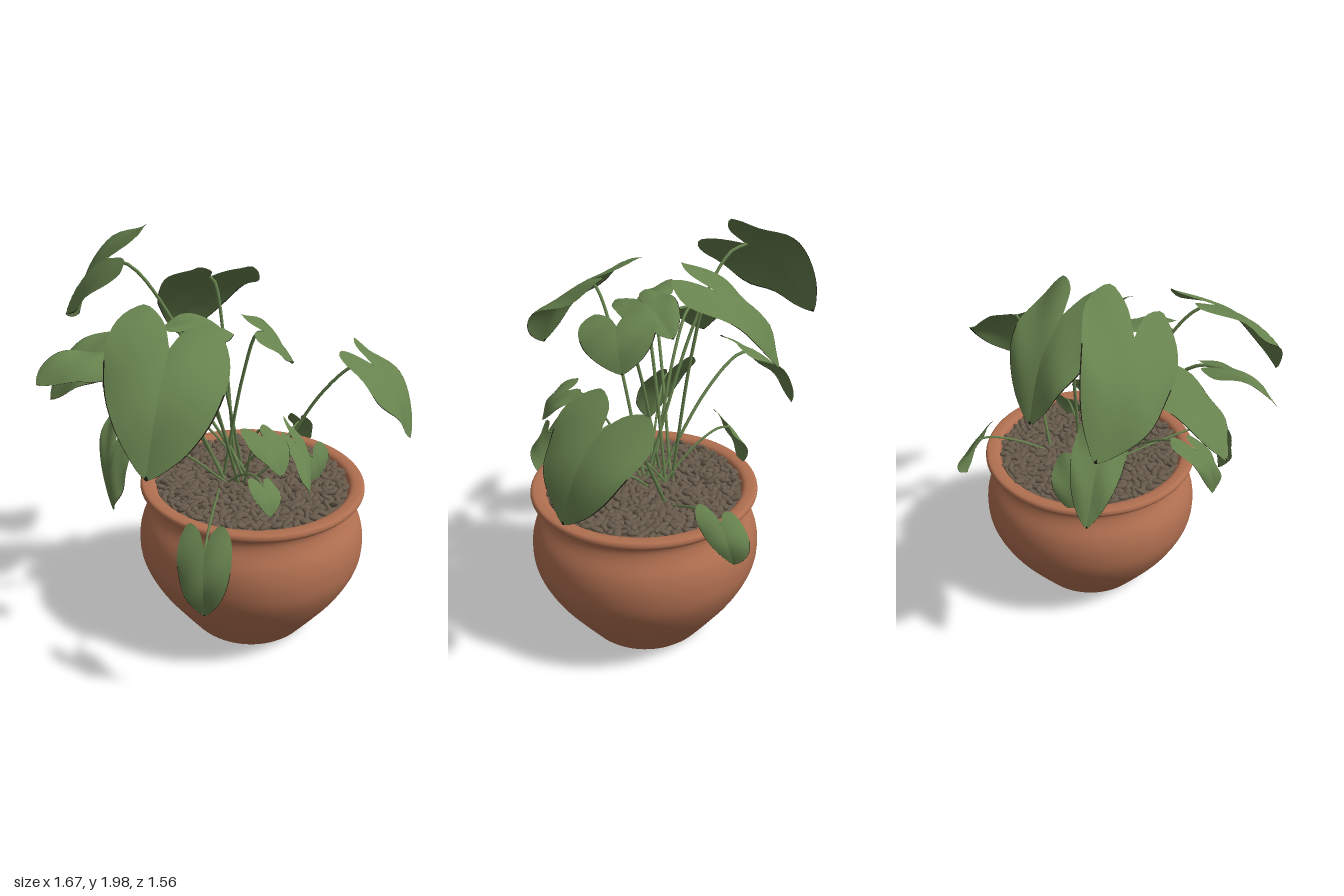
import * as THREE from 'three';
import { mergeGeometries } from 'three/addons/utils/BufferGeometryUtils.js';

const V2 = (x, y) => new THREE.Vector2(x, y);
const V3 = (a) => new THREE.Vector3(...a);
const material = (name, color, side = THREE.FrontSide) => {
  const m = new THREE.MeshStandardMaterial({ color, side });
  m.name = name;
  return m;
};
const terracotta = material('terracotta', 0xb06f50);
const gravelBrown = material('gravel brown', 0x685b4c);
const leafGreen = material('leaf green', 0x67824e, THREE.DoubleSide);
const leafDark = material('withered edge', 0x1c1a12, THREE.DoubleSide);
const stemGreen = material('stem green', 0x67824e);

const CX = 0.11, CZ = 0.22; // pot axis

// Each leaf: one lobe, the other lobe, the tip
const upperLeaves = [
  [[-0.35, 1.79, -0.19], [-0.05, 2.00, -0.31], [-0.16, 1.46, -0.78]],
  [[-0.08, 1.81, -0.05], [0.25, 1.79, 0.13], [0.22, 1.34, -0.42]],
  [[-0.27, 1.50, 0.01], [-0.18, 1.54, -0.28], [-0.64, 1.25, -0.36]],
  [[-0.20, 1.38, -0.27], [0.00, 1.38, -0.31], [-0.09, 1.00, -0.65]],
  [[-0.44, 1.46, 0.10], [-0.48, 1.52, -0.11], [-0.82, 1.43, -0.17]],
  [[-0.45, 1.75, 0.01], [-0.23, 1.66, 0.39], [-0.79, 1.23, 0.51]],
  [[-0.30, 1.57, 0.26], [-0.31, 1.62, 0.03], [0.09, 1.50, 0.06]],
  [[-0.09, 1.59, 0.43], [0.06, 1.64, 0.16], [0.21, 1.41, 0.34]],
  [[0.34, 1.44, 0.51], [0.73, 1.40, 0.33], [0.68, 1.00, 0.73]],
];
const lowerLeaves = [
  [[0.60, 0.94, 0.14], [0.66, 0.88, -0.04], [0.73, 0.67, 0.00]],
  [[-0.44, 1.10, 0.01], [-0.36, 1.22, -0.22], [-0.57, 0.79, -0.02]],
  [[-0.04, 1.06, -0.18], [0.16, 1.04, -0.20], [0.06, 0.78, -0.30]],
  [[-0.55, 0.91, 0.45], [-0.43, 0.91, 0.61], [-0.55, 0.50, 0.58]],
  [[-0.23, 1.24, 0.45], [-0.06, 1.22, 0.47], [-0.16, 1.07, 0.65]],
  [[0.08, 1.08, 0.42], [0.23, 1.13, 0.30], [0.12, 0.80, 0.58]],
  [[-0.18, 0.99, 0.46], [-0.06, 0.96, 0.50], [-0.17, 0.85, 0.60]],
  [[0.23, 0.93, 0.40], [0.38, 0.98, 0.42], [0.31, 0.81, 0.47]],
];

// Half outline of a broad heart-shaped blade, from notch over the lobe to the tip
const outline = new THREE.SplineCurve([
  V2(0, 0.25), V2(0.25, 0.06), V2(0.7, -0.02), V2(1.06, 0.12), V2(1.17, 0.36),
  V2(1.03, 0.6), V2(0.68, 0.81), V2(0.25, 0.95), V2(0, 1),
]);

// Maps blade coordinates (u across, v along) onto an arched surface
function bladeSurface([lobeA, lobeB, tip]) {
  const a = V3(lobeA), b = V3(lobeB);
  const mid = a.clone().add(b).multiplyScalar(0.5);
  const across = b.clone().sub(a).multiplyScalar(0.5);
  const along = V3(tip).sub(mid);
  const normal = across.clone().cross(along).normalize();
  if (normal.y < 0) normal.negate();
  const size = along.length();
  return (u, v) => mid.clone().addScaledVector(across, u).addScaledVector(along, v)
    .addScaledVector(normal, size * (0.14 * Math.sin(Math.PI * Math.max(v, 0))
      + 0.05 * Math.abs(u) - 0.07 * u * u + 0.025 * Math.sin(9 * v + 3 * u) * u));
}

// Green blade (group 0) with a thin dark rim towards the tip (group 1)
function bladeGeometry(surface) {
  const rows = 28, cols = 7, pos = [], green = [], dark = [];
  for (const side of [-1, 1]) {
    const start = pos.length / 3;
    for (let i = 0; i <= rows; i++) {
      const t = i / rows, edge = outline.getPoint(t), rib = 0.25 + 0.75 * t;
      for (let j = 0; j <= cols; j++) {
        const k = j === cols ? 1 : (0.975 * j) / (cols - 1);
        pos.push(...surface(side * edge.x * k, rib + (edge.y - rib) * k).toArray());
        if (i < rows && j < cols) {
          const p = start + i * (cols + 1) + j, q = p + cols + 1;
          const index = (j === cols - 1 && t > 0.5) || i === rows - 1 ? dark : green;
          if (side > 0) index.push(p, q, p + 1, p + 1, q, q + 1);
          else index.push(p, p + 1, q, p + 1, q + 1, q);
        }
      }
    }
  }
  const g = new THREE.BufferGeometry();
  g.setAttribute('position', new THREE.Float32BufferAttribute(pos, 3));
  g.setIndex([...green, ...dark]);
  g.addGroup(0, green.length, 0);
  g.addGroup(green.length, dark.length, 1);
  g.computeVertexNormals();
  return g;
}

// Blade with a stem arching out of the soil
function leaf(spec, i, low) {
  const group = new THREE.Group();
  group.name = low ? 'lowerLeaf' : 'upperLeaf';
  const surface = bladeSurface(spec);
  const blade = new THREE.Mesh(bladeGeometry(surface), [leafGreen, leafDark]);
  blade.name = 'leafBlade';
  const end = surface(0, 0.26);
  const root = new THREE.Vector3(0.08 + 0.07 * Math.sin(i * 2.4), 0.76, 0.14 + 0.07 * Math.cos(i * 2.4));
  if (end.x > 0.4) root.set(0.31, 0.76, 0.17);
  const bend = root.clone().lerp(end, 0.5);
  bend.y = root.y + (end.y - root.y) * 0.7 + 0.02;
  const shoulder = root.clone().lerp(end, 0.82);
  shoulder.y = root.y + (end.y - root.y) * 0.96 + 0.02;
  const path = new THREE.CatmullRomCurve3([root, bend, shoulder, end]);
  const stem = new THREE.Mesh(new THREE.TubeGeometry(path, 24, low ? 0.006 : 0.008, 7), stemGreen);
  stem.name = 'leafStem';
  group.add(blade, stem);
  return group;
}

function pot() {
  const body = new THREE.SplineCurve([
    V2(0.31, 0.01), V2(0.40, 0.13), V2(0.49, 0.26), V2(0.55, 0.39), V2(0.56, 0.50),
    V2(0.54, 0.59), V2(0.495, 0.665), V2(0.483, 0.71), V2(0.50, 0.745), V2(0.535, 0.757),
    V2(0.55, 0.775), V2(0.545, 0.795), V2(0.525, 0.80), V2(0.49, 0.795), V2(0.473, 0.77), V2(0.465, 0.70),
  ]);
  // Shallow hollow under the foot
  const foot = [V2(0, 0.025), V2(0.2, 0.025), V2(0.25, 0.02), V2(0.285, 0.006), V2(0.3, 0)];
  const mesh = new THREE.Mesh(new THREE.LatheGeometry([...foot, ...body.getPoints(70)], 72), terracotta);
  mesh.name = 'pot';
  mesh.position.set(CX, 0, CZ);
  return mesh;
}

// Soil bed covered in elongated pebbles
function gravel() {
  let seed = 7;
  const rand = () => (seed = (seed * 16807) % 2147483647) / 2147483647;
  const parts = [];
  const dummy = new THREE.Object3D();
  const count = 620;
  for (let i = 0; i < count; i++) {
    const r = 0.46 * Math.sqrt((i + 0.5) / count), a = i * 2.39996;
    dummy.position.set(r * Math.cos(a), 0.772 + 0.016 * rand(), r * Math.sin(a));
    dummy.rotation.set((rand() - 0.5) * 0.8, rand() * Math.PI, (rand() - 0.5) * 0.8);
    dummy.scale.set(0.026 + 0.016 * rand(), 0.013, 0.013 + 0.008 * rand());
    dummy.updateMatrix();
    parts.push(new THREE.SphereGeometry(1, 8, 6).applyMatrix4(dummy.matrix));
  }
  const group = new THREE.Group();
  group.name = 'gravelBed';
  const pebbles = new THREE.Mesh(mergeGeometries(parts), gravelBrown);
  pebbles.name = 'pebbles';
  const soil = new THREE.Mesh(new THREE.CylinderGeometry(0.47, 0.465, 0.04, 48), gravelBrown);
  soil.name = 'soil';
  soil.position.y = 0.752;
  group.add(pebbles, soil);
  group.position.set(CX, 0, CZ);
  return group;
}

export function createModel() {
  const model = new THREE.Group();
  model.name = 'pottedPlant';
  model.add(pot(), gravel());
  upperLeaves.forEach((spec, i) => model.add(leaf(spec, i, false)));
  lowerLeaves.forEach((spec, i) => model.add(leaf(spec, i + 9, true)));
  return model;
}
